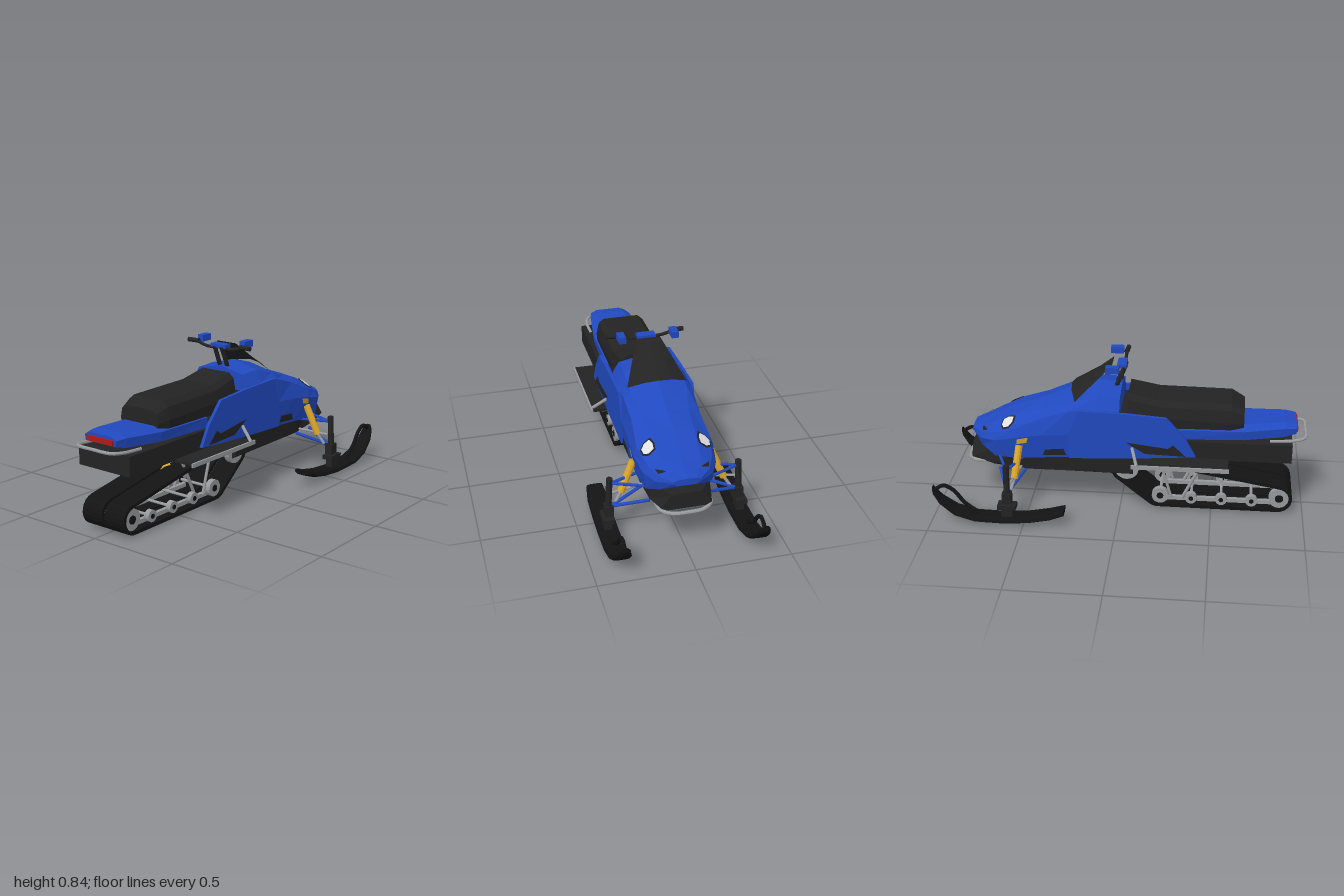
import * as THREE from 'three';

const mat = (name, color, side = THREE.FrontSide) => {
  const m = new THREE.MeshStandardMaterial({ color, side });
  m.name = name;
  m.flatShading = true;
  return m;
};
const blue = mat('blue paint', 0x2149bf, THREE.DoubleSide);
const black = mat('black plastic', 0x232323, THREE.DoubleSide);
const rubber = mat('dark rubber', 0x131313);
const grey = mat('grey metal', 0x97989b);
const yellow = mat('yellow', 0xdca72a, THREE.DoubleSide);
const white = mat('headlight white', 0xdcdee2, THREE.DoubleSide);
const red = mat('tail light red', 0xb01a1a);

export function createModel() {
  const model = new THREE.Group();
  const V = (p) => new THREE.Vector3(...p);
  const add = (name, geo, material, pos = [0, 0, 0]) => {
    const m = new THREE.Mesh(geo, material);
    m.name = name;
    m.position.set(...pos);
    model.add(m);
    return m;
  };
  const box = (name, material, size, pos) => add(name, new THREE.BoxGeometry(...size), material, pos);
  const rod = (name, material, a, b, r, sides = 10) => {
    const d = V(b).sub(V(a));
    const m = add(name, new THREE.CylinderGeometry(r, r, d.length(), sides), material);
    m.position.copy(V(a)).addScaledVector(d, 0.5);
    m.quaternion.setFromUnitVectors(new THREE.Vector3(0, 1, 0), d.normalize());
    return m;
  };
  const tube = (name, material, pts, r, pos) => add(name,
    new THREE.TubeGeometry(new THREE.CatmullRomCurve3(pts.map(V)), 28, r, 8), material, pos);
  const disc = (name, material, r, w, pos) => {
    const m = add(name, new THREE.CylinderGeometry(r, r, w, 20), material, pos);
    m.rotation.x = Math.PI / 2;
    return m;
  };
  const fromTriangles = (v) => {
    const g = new THREE.BufferGeometry();
    g.setAttribute('position', new THREE.Float32BufferAttribute(v.flat(), 3));
    g.computeVertexNormals();
    return g;
  };
  // Loft along x through mirrored half sections: [x, [y, z], ...] from bottom to top
  const loft = (stations) => {
    const rings = stations.map(([x, ...h]) => [
      ...h.map(([y, z]) => [x, y, z]),
      ...h.filter((p) => p[1] > 0).reverse().map(([y, z]) => [x, y, -z]),
    ]);
    const n = rings[0].length, tri = [];
    for (let i = 0; i < rings.length - 1; i++)
      for (let j = 0; j < n; j++) {
        const k = (j + 1) % n, [a, b, c, d] = [rings[i][j], rings[i][k], rings[i + 1][j], rings[i + 1][k]];
        tri.push(a, c, d, a, d, b);
      }
    for (const [ring, front] of [[rings[0], false], [rings[rings.length - 1], true]]) {
      const c = [0, 1, 2].map((q) => ring.reduce((s, p) => s + p[q], 0) / n);
      ring.forEach((p, j) => {
        const next = ring[(j + 1) % n];
        tri.push(c, ...(front ? [next, p] : [p, next]));
      });
    }
    return fromTriangles(tri);
  };
  const plate = (pts, depth) => new THREE.ExtrudeGeometry(
    new THREE.Shape(pts.map((p) => new THREE.Vector2(...p))), { depth, bevelEnabled: false });

  // Hood and nose
  const hood = [
    [0.0, [.335, .185], [.5, .195], [.6, .185], [.66, .15], [.69, 0]],
    [0.12, [.33, .19], [.48, .2], [.6, .19], [.665, .15], [.705, 0]],
    [0.27, [.32, .19], [.46, .2], [.59, .185], [.625, .15], [.66, 0]],
    [0.42, [.31, .19], [.45, .205], [.54, .18], [.57, .12], [.592, 0]],
    [0.56, [.3, .19], [.43, .21], [.48, .193], [.53, .11], [.543, 0]],
    [0.68, [.3, .175], [.4, .19], [.44, .168], [.475, .1], [.485, 0]],
    [0.76, [.34, .125], [.39, .145], [.42, .13], [.435, .08], [.447, 0]],
    [0.82, [.385, .05], [.4, .07], [.412, .07], [.42, .05], [.422, 0]],
  ];
  add('hood', loft(hood), blue);
  // Point on the hood: x along it, t counting section points from the bottom
  const hoodPoint = (x, t) => {
    const i = Math.max(0, Math.min(hood.length - 2, hood.findIndex((h) => h[0] > x) - 1));
    const u = (x - hood[i][0]) / (hood[i + 1][0] - hood[i][0]);
    const j = Math.min(3, Math.floor(t)), w = t - j;
    const at = (h, q) => h[j + 1][q] * (1 - w) + h[j + 2][q] * w;
    return new THREE.Vector3(x, ...[0, 1].map((q) => at(hood[i], q) * (1 - u) + at(hood[i + 1], q) * u));
  };
  const hoodPatch = (name, material, pts, lift, scale = 1) => {
    const c = [0, 1].map((q) => pts.reduce((s, p) => s + p[q], 0) / pts.length);
    const at = (p) => hoodPoint(...p.map((v, q) => c[q] + (v - c[q]) * scale));
    const o = at(c);
    const normal = hoodPoint(c[0] + .01, c[1]).sub(o).cross(hoodPoint(c[0], c[1] + .05).sub(o)).normalize();
    for (const s of [1, -1]) {
      const put = (v) => { const p = v.clone().addScaledVector(normal, lift); return [p.x, p.y, p.z * s]; };
      const tri = [];
      pts.forEach((p, i) => {
        const a = put(at(p)), b = put(at(pts[(i + 1) % pts.length]));
        tri.push(put(o), ...(s > 0 ? [b, a] : [a, b]));
      });
      add(name, fromTriangles(tri), material);
    }
  };
  const lamp = [[.565, 2.85], [.6, 2.98], [.635, 2.9], [.645, 2.4], [.63, 2.05], [.595, 2.05], [.57, 2.4]];
  hoodPatch('headlightFrame', black, lamp, .005);
  hoodPatch('headlightLens', white, lamp, .009, .78);
  hoodPatch('noseVent', black, [[.72, 2.2], [.75, 2.8], [.755, 2.8], [.75, 2.1]], .004);
  hoodPatch('sideMark', yellow, [[.49, .98], [.55, .95], [.555, .72], [.5, .74]], .005);
  hoodPatch('hoodVent', black, [[.285, .12], [.3, .4], [.4, .38], [.415, .12]], .005);

  // Belly pan, tunnel and inner core
  add('bellyPan', loft([
    [-0.07, [.2, .13], [.22, .16], [.34, .17]],
    [0.5, [.2, .12], [.22, .16], [.33, .17]],
    [0.7, [.22, .12], [.25, .16], [.335, .15]],
    [0.82, [.25, .1], [.265, .13], [.34, .08]],
  ]), black);
  box('tunnel', black, [.93, .105, .34], [-.455, .3825, 0]);
  box('core', black, [.2, .2, .32], [-.02, .47, 0]);

  // Seat, seat base and tail
  add('seat', loft([
    [-0.66, [.49, .12], [.53, .125], [.575, .115], [.595, .085]],
    [-0.59, [.49, .14], [.54, .145], [.605, .13], [.632, .1]],
    [-0.2, [.49, .14], [.55, .145], [.612, .13], [.637, .1]],
    [-0.04, [.49, .13], [.57, .135], [.645, .12], [.672, .09]],
  ]), black);
  add('tail', loft([
    [-0.94, [.475, .1], [.505, .105], [.522, .07]],
    [-0.88, [.46, .115], [.51, .12], [.53, .08]],
    [-0.66, [.445, .145], [.495, .15], [.517, .1]],
    [-0.3, [.435, .15], [.49, .15], [.5, .1]],
  ]), blue);
  box('tailLight', red, [.02, .028, .17], [-.938, .492, 0]);
  tube('rearBumper', grey, [[-.8, .44, .135], [-.93, .45, .135], [-.985, .456, .11], [-.993, .457, 0],
    [-.985, .456, -.11], [-.93, .45, -.135], [-.8, .44, -.135]], .009);
  tube('frontBumper', grey, [[.74, .25, .14], [.8, .245, .13], [.84, .242, .08], [.848, .242, 0],
    [.84, .242, -.08], [.8, .245, -.13], [.74, .25, -.14]], .01);

  // Windshield, bent from a plane
  const shield = new THREE.PlaneGeometry(2, 2, 4, 3);
  const sp = shield.attributes.position;
  for (let i = 0; i < sp.count; i++) {
    const u = sp.getX(i), v = (1 - sp.getY(i)) / 2;
    sp.setXYZ(i, .05 + .225 * v - .035 * v * u * u, .812 - .137 * v - .04 * v * u * u, -u * (.065 + .095 * v));
  }
  shield.computeVertexNormals();
  add('windshield', shield, black);

  // Handlebar
  for (const s of [1, -1]) {
    rod('steeringPost', black, [.03, .68, s * .025], [-.02, .8, s * .025], .012);
    rod('grip', black, [-.01, .811, s * .14], [-.015, .811, s * .21], .013);
    box('controlBlock', blue, [.07, .036, .038], [.04, .822, s * .143]);
  }
  tube('handlebar', black, [[-.01, .81, .16], [-.01, .79, .08], [-.01, .795, 0], [-.01, .79, -.08], [-.01, .81, -.16]], .009);
  box('handlebarPad', blue, [.05, .02, .1], [0, .802, 0]);

  for (const s of [1, -1]) {
    // Side panel and its vent
    const depthZ = (z, d) => (s > 0 ? z : -z - d);
    add('sidePanel', plate([[-.41, .36], [-.07, .335], [.27, .32], [.27, .46], [.22, .603], [-.04, .595],
      [-.25, .58], [-.35, .47]], .018), blue, [0, 0, depthZ(.186, .018)]);
    add('panelVent', plate([[-.355, .362], [-.14, .368], [-.04, .43], [-.26, .403], [-.29, .425]], .004),
      black, [0, 0, depthZ(.203, .004)]);

    // Running board and toe hold
    box('runningBoard', black, [.51, .014, .12], [-.33, .33, s * .225]);
    box('boardEdge', grey, [.52, .022, .01], [-.33, .327, s * .286]);
    rod('toeHold', grey, [-.07, .4, s * .205], [-.1, .335, s * .283], .009);

    // Front suspension
    for (const dx of [-.07, .07]) {
      rod('upperArm', blue, [.59 + dx, .3, s * .16], [.59, .3, s * .335], .008);
      rod('lowerArm', blue, [.59 + dx, .213, s * .15], [.59, .16, s * .335], .009);
    }
    rod('tieRod', grey, [.54, .235, s * .15], [.57, .225, s * .335], .007);
    rod('frontShock', yellow, [.54, .385, s * .205], [.56, .22, s * .275], .02);
    rod('shockShaft', grey, [.56, .22, s * .275], [.575, .165, s * .31], .009);
    rod('spindle', black, [.59, .33, s * .34], [.59, .09, s * .352], .017, 8);
    box('spindleFoot', black, [.05, .06, .045], [.59, .14, s * .347]);
    box('skiSaddle', black, [.1, .025, .06], [.59, .095, s * .355]);
    box('skiMount', black, [.06, .07, .04], [.59, .06, s * .355]);

    // Ski: [x, height, half width]
    add('ski', loft([[.28, .062, .045], [.36, .034, .056], [.47, .012, .056], [.6, 0, .056], [.76, .004, .056],
      [.87, .035, .053], [.95, .095, .042], [.985, .145, .03], [.992, .162, .018],
    ].map(([x, y, w]) => [x, [y, w * .6], [y + .014, w], [y + .03, w * .9], [y + .033, w * .4]])),
    rubber, [0, 0, s * .355]);
    tube('skiHandle', rubber, [[.74, .04, 0], [.82, .1, 0], [.88, .175, 0], [.93, .2, 0], [.98, .175, 0]],
      .011, [0, 0, s * .355]);
  }

  // Track: two belts around three equal rollers
  const rollers = [[-.86, .09], [-.21, .09], [-.03, .235]];
  const loop = (r) => {
    const pts = [];
    const heading = (i) => {
      const a = rollers[(i + 3) % 3], b = rollers[(i + 1) % 3];
      return Math.atan2(b[1] - a[1], b[0] - a[0]) - Math.PI / 2;
    };
    rollers.forEach(([x, y], i) => {
      const a = heading(i + 2);
      const turn = (heading(i) - a + 4 * Math.PI) % (2 * Math.PI);
      for (let k = 0; k <= 10; k++)
        pts.push(new THREE.Vector2(x + r * Math.cos(a + turn * k / 10), y + r * Math.sin(a + turn * k / 10)));
    });
    return pts;
  };
  const beltShape = new THREE.Shape(loop(.08));
  beltShape.holes.push(new THREE.Path(loop(.062)));
  const belt = new THREE.ExtrudeGeometry(beltShape, { depth: .132, bevelEnabled: false });
  for (const z of [.008, -.14]) add('trackBelt', belt, rubber, [0, 0, z]);

  // Rear suspension inside the track
  const wheels = [[-.87, .09, .057], [-.72, .065, .032], [-.555, .065, .032], [-.39, .065, .032],
    [-.22, .075, .046], [-.035, .235, .066]];
  for (const s of [1, -1]) {
    for (const [x, y, r] of wheels) {
      disc('trackWheel', grey, r, .03, [x, y, s * .118]);
      disc('wheelHub', rubber, r * .4, .036, [x, y, s * .118]);
    }
    box('slideRail', grey, [.65, .022, .022], [-.53, .045, s * .09]);
    rod('rearStrut', grey, [-.47, .32, s * .1], [-.34, .05, s * .1], .009);
    rod('frontStrut', grey, [-.2, .32, s * .1], [-.28, .05, s * .1], .008);
  }
  for (const [x, y] of wheels) rod('axle', grey, [x, y, -.11], [x, y, .11], .008);
  rod('rearShock', yellow, [-.55, .165, 0], [-.44, .235, 0], .024);
  rod('rearShockShaft', grey, [-.44, .235, 0], [-.3, .31, 0], .01);
  rod('shockCrossbar', grey, [-.55, .165, -.1], [-.55, .165, .1], .009);

  return model;
}
